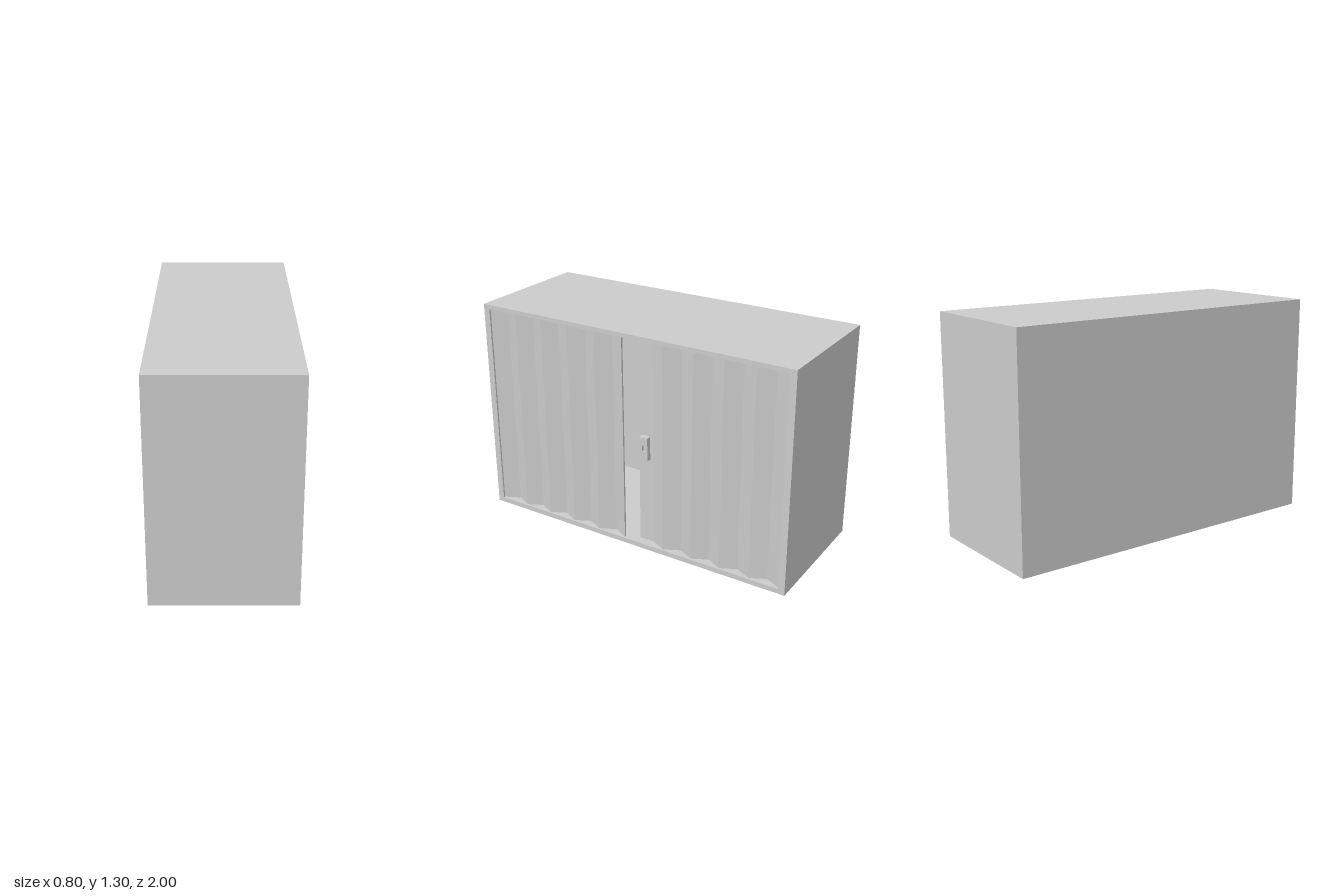
import * as THREE from 'three';

const W = 0.8, H = 1.3, L = 2;              // overall x, y, z sizes
const BACK = 0.03, SIDE = 0.04;             // wall thicknesses
const FLOOR = 0.03, CEIL = 1.275;           // opening bottom and top
const OUT = W / 2 - 0.01, IN = OUT - 0.045; // x of outer and inner folds
const END = L / 2 - SIDE, GAP = 0.04, FOLDS = 10;
const PITCH = (END - GAP) / FOLDS;

const material = new THREE.MeshStandardMaterial({ color: 0xcccccc });

function add(parent, name, geometry, x = 0, y = 0, z = 0) {
  const mesh = new THREE.Mesh(geometry, material);
  mesh.name = name;
  mesh.position.set(x, y, z);
  parent.add(mesh);
  return mesh;
}

// Rectangle outline from two opposite corners
function rect(Type, x0, y0, x1, y1) {
  return new Type([[x0, y0], [x1, y0], [x1, y1], [x0, y1]].map(p => new THREE.Vector2(...p)));
}

// Rectangular frame in the z-y plane, extruded along +x
function frame(outer, inner, depth) {
  const shape = rect(THREE.Shape, ...outer);
  shape.holes.push(rect(THREE.Path, ...inner));
  return new THREE.ExtrudeGeometry(shape, { depth, bevelEnabled: false }).rotateY(Math.PI / 2);
}

// Upright folded sheet of a given thickness following [x, z] fold points
function foldedSheet(points, thickness = 0.012) {
  const front = points.map(([x, z]) => new THREE.Vector2(x, -z));
  const back = front.map(p => new THREE.Vector2(p.x - thickness, p.y)).reverse();
  const geometry = new THREE.ExtrudeGeometry(new THREE.Shape([...front, ...back]),
    { depth: CEIL - FLOOR, bevelEnabled: false });
  return geometry.rotateX(-Math.PI / 2);
}

export function createModel() {
  const group = new THREE.Group();
  group.name = 'cabinet';

  // Hollow case, open towards +x
  add(group, 'caseWalls', frame([-L / 2, 0, L / 2, H], [-END, FLOOR, END, CEIL], W - BACK),
    -W / 2 + BACK);
  add(group, 'backPanel', new THREE.BoxGeometry(BACK, H, L), -W / 2 + BACK / 2, H / 2);

  // Two accordion door leaves with a narrow gap between them
  const frontFolds = [], rearFolds = [];
  for (let i = 0; i <= FOLDS; i++) {
    frontFolds.push([i % 2 ? IN : OUT, END - i * PITCH]);
    // The rear leaf begins with a flat panel that carries the handle
    rearFolds.push([i === 0 || i % 2 ? IN : OUT, -GAP - i * PITCH]);
  }
  add(group, 'frontDoorLeaf', foldedSheet(frontFolds), 0, FLOOR);
  add(group, 'rearDoorLeaf', foldedSheet(rearFolds), 0, FLOOR);

  // Handle plate with a small slot
  const handle = new THREE.Group();
  handle.name = 'handle';
  handle.position.set(IN, 0.63, -0.085);
  add(handle, 'handleBase', new THREE.BoxGeometry(0.015, 0.14, 0.054), 0.0075);
  add(handle, 'handlePlate',
    frame([-0.027, -0.07, 0.027, 0.07], [-0.008, -0.017, 0.012, 0.021], 0.015), 0.015);
  group.add(handle);

  return group;
}
